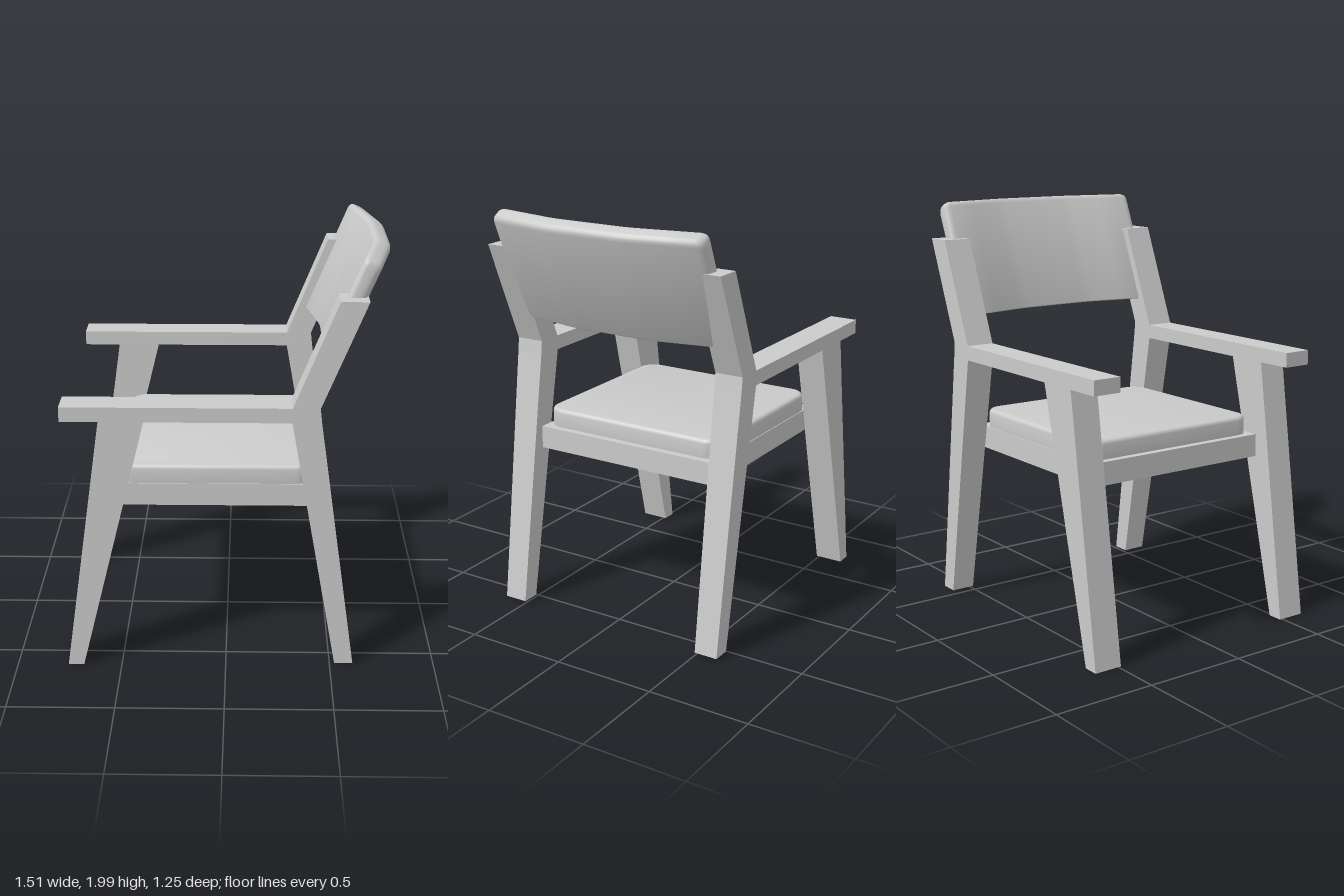
import * as THREE from 'three';
import { toCreasedNormals, mergeVertices } from 'three/addons/utils/BufferGeometryUtils.js';

const material = new THREE.MeshStandardMaterial({ color: 0xcccccc });
const SIDE_Z = 0.556, SIDE_W = 0.14;

function addMesh(parent, name, geometry) {
  const mesh = new THREE.Mesh(geometry, material);
  mesh.name = name;
  parent.add(mesh);
  return mesh;
}

// Extrudes an x-y outline along z, centred on z = 0.
function board(points, width) {
  const shape = new THREE.Shape(points.map(([x, y]) => new THREE.Vector2(x, y)));
  const geometry = new THREE.ExtrudeGeometry(shape, { depth: width, bevelEnabled: false });
  return geometry.translate(0, 0, -width / 2);
}

// One side: leaning front leg, armrest running into the back post, tapered rear leg.
function sideFrame(name, z) {
  const side = new THREE.Group();
  side.name = name;
  side.position.z = z;
  addMesh(side, 'frontLeg', board([[-0.757, 0], [-0.682, 0], [-0.37, 1.255], [-0.575, 1.255]], SIDE_W));
  addMesh(side, 'armrestAndBackPost', board([
    [-0.75, 1.255], [0.3, 1.255], [0.433, 1.255], [0.425, 1.325],
    [0.627, 1.82], [0.5, 1.82], [0.3, 1.325], [-0.75, 1.325],
  ], SIDE_W));
  const rear = board([[0.522, 0.012], [0.61, 0.012], [0.433, 1.255], [0.3, 1.255]], SIDE_W);
  const p = rear.attributes.position;
  for (let i = 0; i < p.count; i++) if (p.getY(i) < 0.5) p.setZ(i, p.getZ(i) * 0.84);
  rear.computeVertexNormals();
  addMesh(side, 'rearLeg', rear);
  return side;
}

// Cushion: rounded rectangle with a softly rounded top edge.
function cushionGeometry() {
  const x0 = -0.515, x1 = 0.405, h = 0.484, r = 0.085, b = 0.02;
  const a = x0 + b, c = x1 - b, d = h - b, q = r - b;
  const shape = new THREE.Shape();
  shape.absarc(c - q, d - q, q, 0, Math.PI / 2);
  shape.absarc(a + q, d - q, q, Math.PI / 2, Math.PI);
  shape.absarc(a + q, -d + q, q, Math.PI, Math.PI * 1.5);
  shape.absarc(c - q, -d + q, q, Math.PI * 1.5, Math.PI * 2);
  const geometry = new THREE.ExtrudeGeometry(shape, {
    depth: 0.08, bevelThickness: b, bevelSize: b, bevelSegments: 4, curveSegments: 8,
  });
  geometry.rotateX(-Math.PI / 2).translate(0, 0.885, 0);
  return toCreasedNormals(geometry, 0.7);
}

// Rounded outline of the backrest at one z, shrunk by inset toward the ends.
function backSection(z, inset) {
  const t = Math.min(1, Math.max(0, (Math.abs(z) - 0.2) / 0.36));
  const dx = -0.073 * t;
  const corners = [[0.45, 1.455], [0.54, 1.455], [0.757, 1.965], [0.677, 2.003]]
    .map(([x, y]) => new THREE.Vector2(x + dx, y));
  const centre = new THREE.Vector2(0.606 + dx, 1.73);
  const slope = 0.42;
  // Pull corners in, along the board and across its thickness.
  corners.forEach((v, i) => {
    const along = i < 2 ? inset : -inset;
    const across = i === 0 || i === 3 ? inset : -inset;
    v.x += across + along * slope;
    v.y += along;
  });
  const radii = [0.012, 0.012, 0.025, 0.025];
  const points = [];
  corners.forEach((v, i) => {
    const prev = corners[(i + 3) % 4], next = corners[(i + 1) % 4];
    const r = radii[i] * 1.2 * (1 - inset / 0.06);
    const from = v.clone().add(prev.clone().sub(v).setLength(r));
    const to = v.clone().add(next.clone().sub(v).setLength(r));
    points.push(...new THREE.QuadraticBezierCurve(from, v, to).getPoints(4));
  });
  return { points, centre, z };
}

// Bent backrest: outlines lofted across the width and capped at both ends.
function backrestGeometry() {
  const half = [[0.562, 0.028], [0.559, 0.016], [0.55, 0.007], [0.53, 0], [0.38, 0], [0.23, 0], [0.17, 0]];
  const stations = [...half.map(([z, s]) => [-z, s]), ...half.slice().reverse()];
  const sections = stations.map(([z, s]) => backSection(z, s));
  const n = sections[0].points.length, positions = [], index = [];
  sections.forEach(s => s.points.forEach(p => positions.push(p.x, p.y, s.z)));
  for (let j = 0; j < sections.length - 1; j++) {
    for (let i = 0; i < n; i++) {
      const a = j * n + i, b = j * n + (i + 1) % n;
      index.push(a, b, b + n, a, b + n, a + n);
    }
  }
  [0, sections.length - 1].forEach(j => {
    const s = sections[j], c = positions.length / 3;
    positions.push(s.centre.x, s.centre.y, s.z);
    for (let i = 0; i < n; i++) {
      const a = j * n + i, b = j * n + (i + 1) % n;
      if (j === 0) index.push(c, b, a);
      else index.push(c, a, b);
    }
  });
  const geometry = new THREE.BufferGeometry();
  geometry.setAttribute('position', new THREE.Float32BufferAttribute(positions, 3));
  geometry.setIndex(index);
  return toCreasedNormals(mergeVertices(geometry), 0.8);
}

export function createModel() {
  const chair = new THREE.Group();
  chair.name = 'armchair';
  chair.add(sideFrame('leftSide', SIDE_Z), sideFrame('rightSide', -SIDE_Z));

  // Seat: solid base with the cushion on top.
  const base = addMesh(chair, 'seatBase', new THREE.BoxGeometry(0.99, 0.11, 0.976));
  base.position.set(-0.055, 0.84, 0);
  addMesh(chair, 'seatCushion', cushionGeometry());
  addMesh(chair, 'backrest', backrestGeometry());
  return chair;
}
